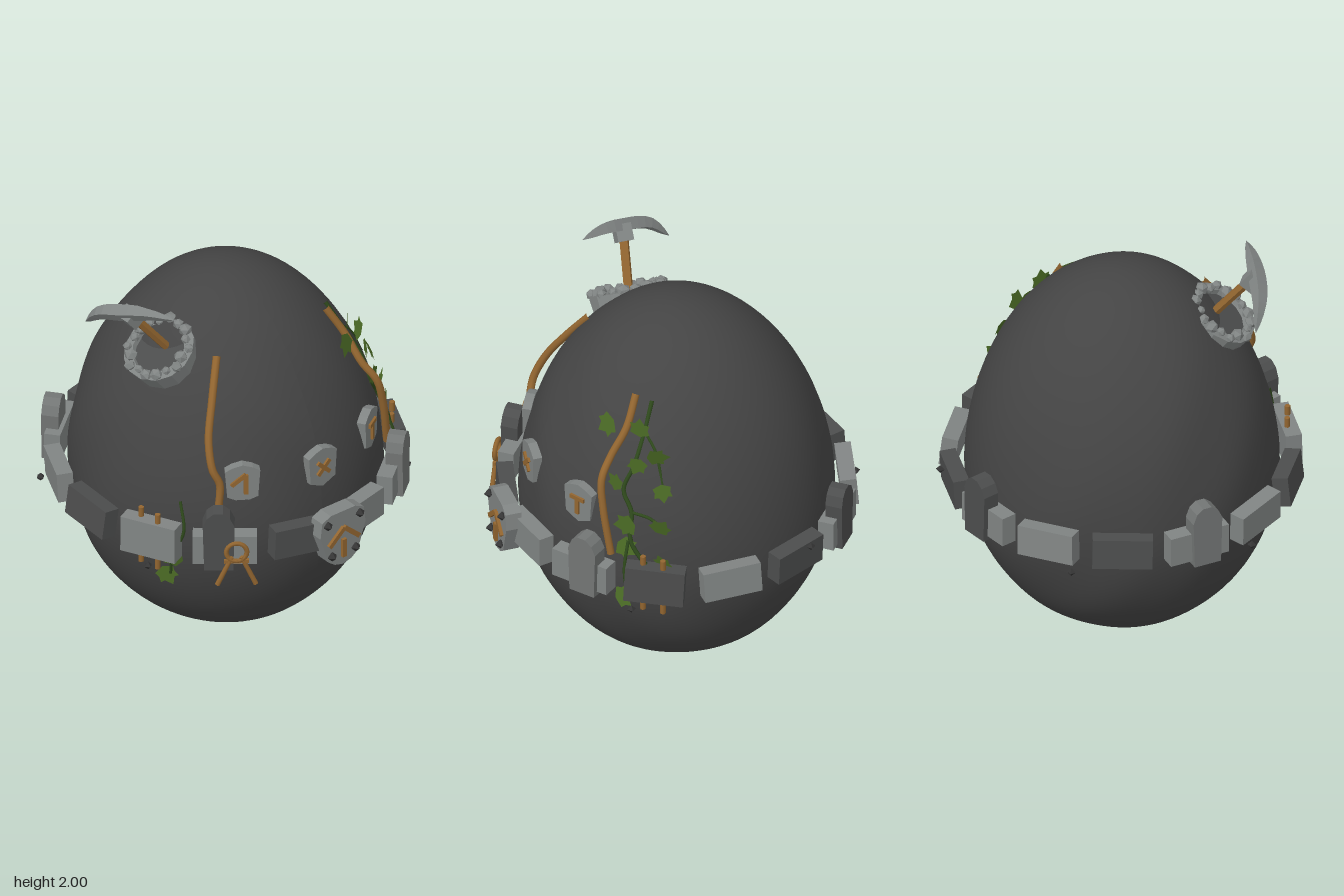
import * as THREE from 'three';

const mat = (name, color, side = THREE.FrontSide) => {
  const m = new THREE.MeshStandardMaterial({ color, side });
  m.name = name;
  return m;
};
const V = (x, y, z) => new THREE.Vector3(x, y, z);

export function createModel() {
  const M = {
    shell: mat('shell grey', 0x444444),
    light: mat('light stone', 0x808483),
    mid: mat('mid stone', 0x727574),
    dark: mat('dark stone', 0x4c4d4d),
    iron: mat('stud iron', 0x363636),
    wood: mat('wood', 0x936630),
    vine: mat('vine green', 0x2f4a1c),
    leaf: mat('leaf green', 0x4b6b25, THREE.DoubleSide),
  };
  const root = new THREE.Group();
  root.name = 'decoratedEgg';
  const CZ = -0.025;

  const add = (parent, name, geo, m, x = 0, y = 0, z = 0) => {
    const mesh = new THREE.Mesh(geo, m);
    mesh.name = name;
    mesh.position.set(x, y, z);
    parent.add(mesh);
    return mesh;
  };
  const flat = (geo) => {
    const g = geo.index ? geo.toNonIndexed() : geo;
    g.computeVertexNormals();
    return g;
  };
  // Group on the belt: local +z points outward
  const station = (name, deg, r, y) => {
    const g = new THREE.Group(), a = THREE.MathUtils.degToRad(deg);
    g.name = name;
    g.position.set(Math.sin(a) * r, y, CZ + Math.cos(a) * r);
    g.rotation.y = a;
    root.add(g);
    return g;
  };
  const slab = (pts, depth) => new THREE.ExtrudeGeometry(
    new THREE.Shape(pts.map((p) => new THREE.Vector2(...p))), { depth, bevelEnabled: false });
  // Flat wooden bar between two points of a plate
  const bar = (g, x1, y1, x2, y2, z, w = 0.018) => {
    const b = add(g, 'runeBar', new THREE.BoxGeometry(Math.hypot(x2 - x1, y2 - y1), w, 0.016), M.wood,
      (x1 + x2) / 2, (y1 + y2) / 2, z);
    b.rotation.z = Math.atan2(y2 - y1, x2 - x1);
  };
  const stud = (g, x, y, z, s = 0.027) =>
    add(g, 'stud', flat(new THREE.OctahedronGeometry(s)), M.iron, x, y, z);
  const tube = (name, pts, r, m, sides = 6) => add(root, name,
    new THREE.TubeGeometry(new THREE.CatmullRomCurve3(pts.map((p) => V(...p))), pts.length * 5, r, sides), m);

  // Egg shell: two half ellipses, the upper one slightly slimmer, with soft lumps
  const radiusAt = (y) => {
    const d = y < 0.85 ? (0.85 - y) / 0.85 : (y - 0.85) / 1.08;
    const slim = y < 0.85 ? 0 : 0.05 * d * d;
    return 0.757 * Math.sqrt(Math.max(0, 1 - d * d)) * (1 - slim);
  };
  const profile = [];
  for (let i = 0; i <= 60; i++) {
    const c = -Math.cos(i * Math.PI / 60), y = 0.85 + c * (c < 0 ? 0.85 : 1.08);
    profile.push(new THREE.Vector2(i % 60 ? radiusAt(y) : 0, y));
  }
  const shell = new THREE.LatheGeometry(profile, 72);
  const sp = shell.attributes.position;
  for (let i = 0; i < sp.count; i++) {
    const x = sp.getX(i), y = sp.getY(i), z = sp.getZ(i);
    const n = Math.sin(7 * x + 5 * y) * Math.sin(6 * z - 4 * y + 1) + 0.6 * Math.sin(13 * x - 9 * z + 6 * y);
    const k = 1 + 0.007 * n;
    sp.setXYZ(i, x * k, y, z * k);
  }
  shell.computeVertexNormals();
  add(root, 'eggShell', shell, M.shell, 0, 0, CZ);

  // Belt of fourteen stone blocks, four of them carrying standing stones
  const pillars = { 1: [M.mid, 1], 5: [M.dark, -1], 8: [M.mid, 1], 12: [M.dark, -1] };
  for (let i = 0; i < 14; i++) {
    const g = station('beltStation', (i + 0.5) * 360 / 14, 0.82, 0.845);
    const isDark = [2, 4, 7, 10, 13].includes(i), pegs = i === 2 || i === 11;
    const pillar = pillars[i];
    const block = add(g, 'beltBlock', new THREE.BoxGeometry(pillar ? 0.31 : 0.29, pegs ? 0.19 : 0.155, 0.08),
      isDark ? M.dark : M.light);
    if (pillar) {
      add(g, 'standingStone', slab([[-0.07, -0.1], [0.07, -0.1], [0.077, 0.15], [0.055, 0.195], [0.02, 0.222],
        [-0.025, 0.222], [-0.058, 0.195], [-0.077, 0.145]], 0.085), pillar[0], pillar[1] * 0.03, 0, -0.02);
    } else {
      block.rotation.z = 0.05 * Math.sin(i * 2.3);
      block.rotation.x = 0.12 * Math.sin(i * 1.7);
    }
    if (pegs) {
      // Wooden pegs through the block
      for (const x of [-0.06, 0.04]) {
        add(g, 'peg', new THREE.CylinderGeometry(0.014, 0.014, 0.31, 8), M.wood, x, -0.01, x * 0.25);
      }
    }
  }

  // Large front shield with studs and arrow rune
  const shield = new THREE.Group();
  shield.name = 'frontShield';
  shield.position.set(0, 0.835, 0.805);
  root.add(shield);
  add(shield, 'shieldPlate', slab([[-0.09, -0.12], [-0.05, -0.15], [0, -0.163], [0.05, -0.15], [0.09, -0.12],
    [0.138, 0.03], [0.127, 0.115], [0.075, 0.14], [-0.075, 0.14], [-0.127, 0.115], [-0.138, 0.03]], 0.08), M.light);
  for (const s of [-1, 1]) {
    stud(shield, s * 0.098, 0.095, 0.088);
    stud(shield, s * 0.072, -0.09, 0.088);
    bar(shield, s * 0.09, -0.03, 0, 0.052, 0.088, 0.024);
  }
  bar(shield, 0, -0.115, 0, -0.015, 0.088, 0.024);

  // Three small shields with runes
  const runes = {
    '-32': [[0.015, -0.055, 0.015, 0.055], [0.015, 0.055, -0.055, -0.005]],
    '0': [[-0.035, -0.035, 0.035, 0.035], [-0.035, 0.035, 0.035, -0.035]],
    '32': [[-0.042, 0.03, 0.042, 0.03], [0, 0.03, 0, -0.06]],
  };
  for (const [deg, bars] of Object.entries(runes)) {
    const g = station('runeShield', +deg, deg === '0' ? 0.71 : 0.70, 1.15);
    add(g, 'shieldPlate', slab([[-0.075, -0.075], [0, -0.108], [0.075, -0.075], [0.085, 0.07], [0.05, 0.09],
      [0, 0.105], [-0.05, 0.09], [-0.085, 0.07]], 0.045), M.light);
    bars.forEach((b) => bar(g, ...b, 0.049, 0.021));
  }

  // Wooden roots running down both sides
  tube('woodRootRight', [[-0.32, 1.7, 0.31], [-0.42, 1.53, 0.4], [-0.5, 1.37, 0.475], [-0.52, 1.24, 0.53],
    [-0.495, 1.16, 0.555], [-0.505, 1.04, 0.56]], 0.019, M.wood, 8);
  tube('woodRootLeft', [[0.355, 1.7, 0.3], [0.42, 1.56, 0.37], [0.45, 1.43, 0.46], [0.495, 1.34, 0.52],
    [0.53, 1.2, 0.525], [0.575, 0.95, 0.5]], 0.019, M.wood, 8);

  // Wooden loop charm with crossing legs
  const charm = station('loopCharm', -35, 0.9, 0.86);
  add(charm, 'loop', new THREE.TorusGeometry(0.05, 0.012, 6, 20), M.wood);
  for (const s of [-1, 1]) {
    const leg = add(charm, 'loopLeg', new THREE.CylinderGeometry(0.011, 0.013, 0.17, 6), M.wood, s * 0.058, -0.105, 0);
    leg.rotation.z = s * 0.42;
  }
  bar(charm, -0.06, -0.05, 0.06, -0.05, 0);

  // Vines and ivy leaves
  tube('vine', [[0.405, 1.68, 0.235], [0.46, 1.55, 0.29], [0.52, 1.4, 0.365], [0.53, 1.28, 0.42],
    [0.59, 1.18, 0.4], [0.635, 1.05, 0.42], [0.7, 0.93, 0.36], [0.75, 0.86, 0.3]], 0.011, M.vine);
  tube('vineBranch', [[0.59, 1.18, 0.4], [0.65, 1.17, 0.33], [0.69, 1.13, 0.28]], 0.008, M.vine);
  tube('vineBranch', [[0.46, 1.55, 0.29], [0.54, 1.47, 0.26], [0.615, 1.32, 0.25]], 0.008, M.vine);
  tube('vineTail', [[0.63, 1.05, 0.43], [0.66, 0.9, 0.46], [0.66, 0.72, 0.44]], 0.008, M.vine);
  tube('vineSprig', [[-0.63, 1.05, 0.42], [-0.64, 0.9, 0.46], [-0.66, 0.75, 0.4], [-0.65, 0.62, 0.37]], 0.008, M.vine);
  const leafGeo = new THREE.ShapeGeometry(new THREE.Shape([[0, -0.05], [0.026, -0.04], [0.05, -0.03], [0.042, -0.004],
    [0.05, 0.026], [0.026, 0.024], [0, 0.06], [-0.026, 0.024], [-0.05, 0.026], [-0.042, -0.004], [-0.05, -0.03],
    [-0.026, -0.04]].map((p) => new THREE.Vector2(...p))));
  // Each leaf: z, y and side, laid on the shell
  const leaves = [[0.32, 1.58], [0.45, 1.56], [0.265, 1.47], [0.46, 1.33], [0.265, 1.31], [0.29, 1.14],
    [0.44, 1.13], [0.44, 1.01], [0.29, 0.95], [0.36, 1.42], [0.45, 0.72], [0.4, 0.73, -1], [0.36, 0.61, -1]];
  leaves.forEach(([z, y, side = 1], i) => {
    const r = radiusAt(y) + 0.04, dz = z - CZ;
    const x = side * Math.sqrt(r * r - dz * dz);
    const l = add(root, 'leaf', leafGeo, M.leaf, x, y, z);
    l.rotation.set(-0.3 * Math.sin(i * 2.1), 0.9 * Math.atan2(x, dz) + 0.25 * Math.sin(i * 3.7), i * 2.4, 'YXZ');
    l.scale.setScalar(1 + 0.12 * Math.sin(i * 1.3));
  });

  // Loose crystals around the belt
  [[0.05, 0.75, -0.915], [0.8, 0.93, -0.44], [-0.75, 0.76, -0.51], [-0.78, 0.71, 0.36], [0.74, 0.72, 0.45]]
    .forEach((p) => stud(root, ...p, 0.022));

  // Stone basin filled with rubble, tilted outward on the shoulder
  const basin = new THREE.Group();
  basin.name = 'stoneBasin';
  basin.position.set(-0.455, 1.65, 0.065);
  basin.rotation.z = 0.59;
  basin.scale.z = 1.1;
  root.add(basin);
  add(basin, 'basinWall', flat(new THREE.LatheGeometry([[0.165, -0.07], [0.18, 0.045], [0.135, 0.05], [0.125, 0]]
    .map((p) => new THREE.Vector2(...p)), 14)), M.light);
  add(basin, 'basinFloor', new THREE.CylinderGeometry(0.14, 0.14, 0.05, 14), M.dark);
  for (let i = 0; i < 18; i++) {
    const a = i * Math.PI / 9, r = 0.15 + 0.012 * Math.sin(i * 2.7);
    const rock = add(basin, 'rubble', flat(new THREE.IcosahedronGeometry(0.028 + 0.006 * Math.sin(i * 1.9), 0)),
      M.light, Math.cos(a) * r, 0.052, Math.sin(a) * r);
    rock.rotation.set(i, i * 1.7, i * 0.6);
  }

  // Pickaxe: handle, collar and tapering curved head
  const handle = new THREE.LineCurve3(V(-0.42, 1.66, 0.075), V(-0.645, 1.945, 0.035));
  add(root, 'pickHandle', flat(new THREE.TubeGeometry(handle, 1, 0.023, 6)), M.wood);
  const collar = add(root, 'pickCollar', new THREE.BoxGeometry(0.075, 0.085, 0.08), M.light, -0.63, 1.915, 0.04);
  collar.rotation.z = 0.67;
  const spine = new THREE.CatmullRomCurve3([V(-0.705, 1.785, -0.22), V(-0.7, 1.89, -0.11), V(-0.66, 1.94, 0.02),
    V(-0.605, 1.975, 0.15), V(-0.55, 1.98, 0.27)]);
  const head = new THREE.TubeGeometry(spine, 12, 0.043, 4);
  const hp = head.attributes.position;
  for (let i = 0; i < hp.count; i++) {
    const t = Math.floor(i / 5) / 12, c = spine.getPointAt(t);
    const k = 0.02 + 0.98 * Math.pow(Math.sin(Math.PI * t), 0.75);
    const v = V(0, 0, 0).fromBufferAttribute(hp, i).sub(c).multiplyScalar(k).add(c);
    hp.setXYZ(i, v.x, Math.min(v.y, 2), v.z);
  }
  add(root, 'pickHead', flat(head), M.light);

  return root;
}
